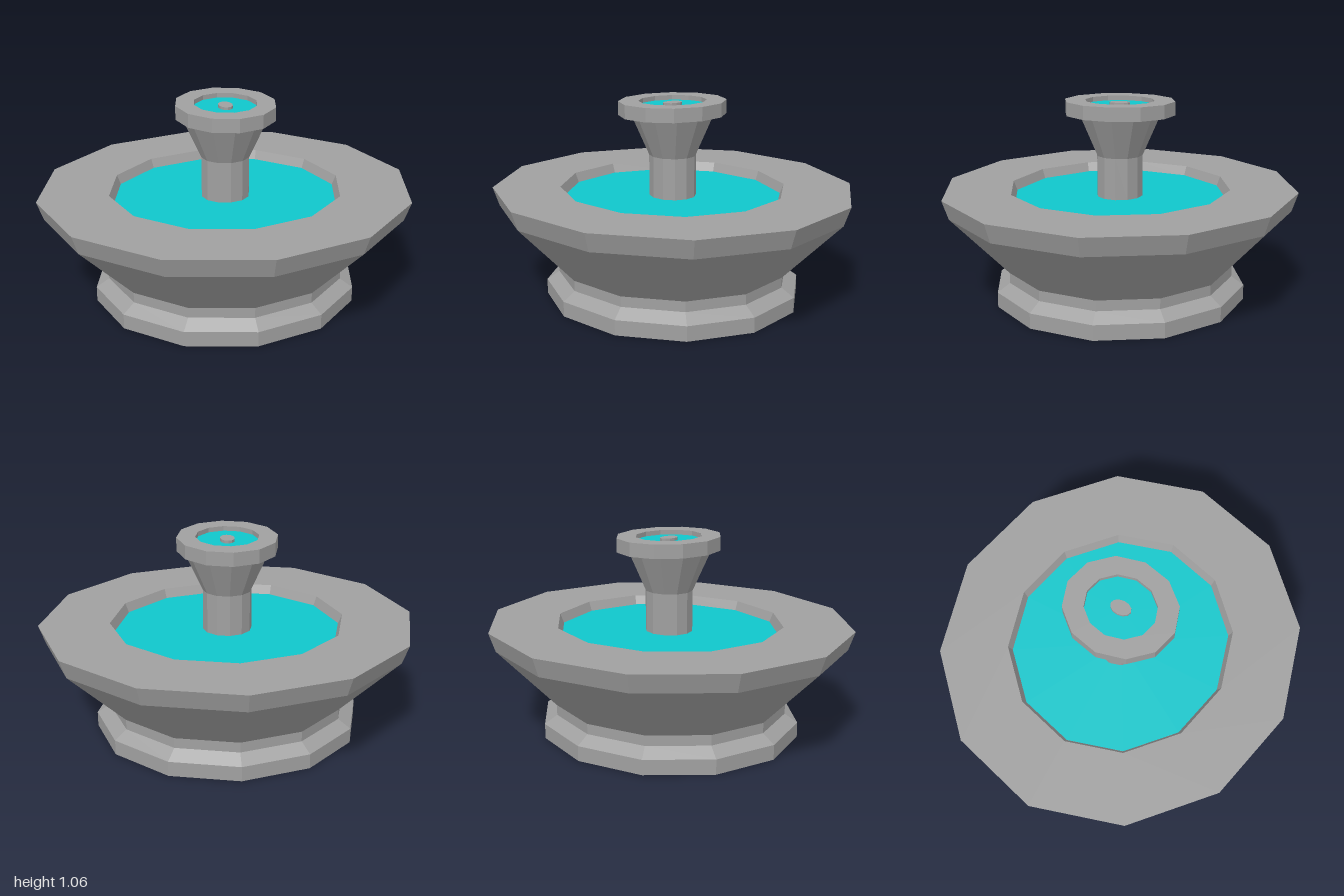
import * as THREE from 'three';

const SIDES = 12;

export function createModel() {
  const stone = new THREE.MeshStandardMaterial({ color: 0xa0a0a0 });
  stone.name = 'stone grey';
  const water = new THREE.MeshStandardMaterial({ color: 0x10c6cb });
  water.name = 'water turquoise';

  const model = new THREE.Group();
  model.name = 'fountain';

  // Faceted turned part: profile of [radius, height], squashed or stretched in z
  function turned(name, profile, zScale, material) {
    const points = profile.map(([r, y]) => new THREE.Vector2(r, y));
    const geometry = new THREE.LatheGeometry(points, SIDES).scale(1, 1, zScale).toNonIndexed();
    geometry.computeVertexNormals();
    const mesh = new THREE.Mesh(geometry, material);
    mesh.name = name;
    model.add(mesh);
  }

  // Flat sheet of water
  function pool(name, radius, y, zScale) {
    const geometry = new THREE.CircleGeometry(radius, SIDES).rotateX(-Math.PI / 2);
    geometry.scale(1, 1, zScale).translate(0, y, 0);
    const mesh = new THREE.Mesh(geometry, water);
    mesh.name = name;
    model.add(mesh);
  }

  const BASIN_Z = 0.944;
  const BOWL_Z = 1.11;

  // Foot, neck and wide basin with a recessed floor
  turned('basin', [
    [0, 0], [0.715, 0], [0.715, 0.08], [0.645, 0.125], [0.645, 0.18],
    [0.965, 0.5], [1, 0.6], [0.625, 0.6], [0.603, 0.545], [0, 0.545],
  ], BASIN_Z, stone);
  pool('basinWater', 0.604, 0.55, BASIN_Z);

  // Pillar flaring up to the small bowl
  turned('pillar', [
    [0.13, 0.545], [0.13, 0.77], [0.23, 0.99], [0, 0.99],
  ], BASIN_Z, stone);

  // Small bowl with its rim, water and spout
  turned('upperBowl', [
    [0, 0.987], [0.265, 0.987], [0.265, 1.06], [0.167, 1.06], [0.167, 1.03], [0, 1.03],
  ], BOWL_Z, stone);
  pool('upperWater', 0.167, 1.035, BOWL_Z);
  turned('spout', [[0.038, 1.03], [0.038, 1.05], [0, 1.05]], 1.45, stone);

  return model;
}
